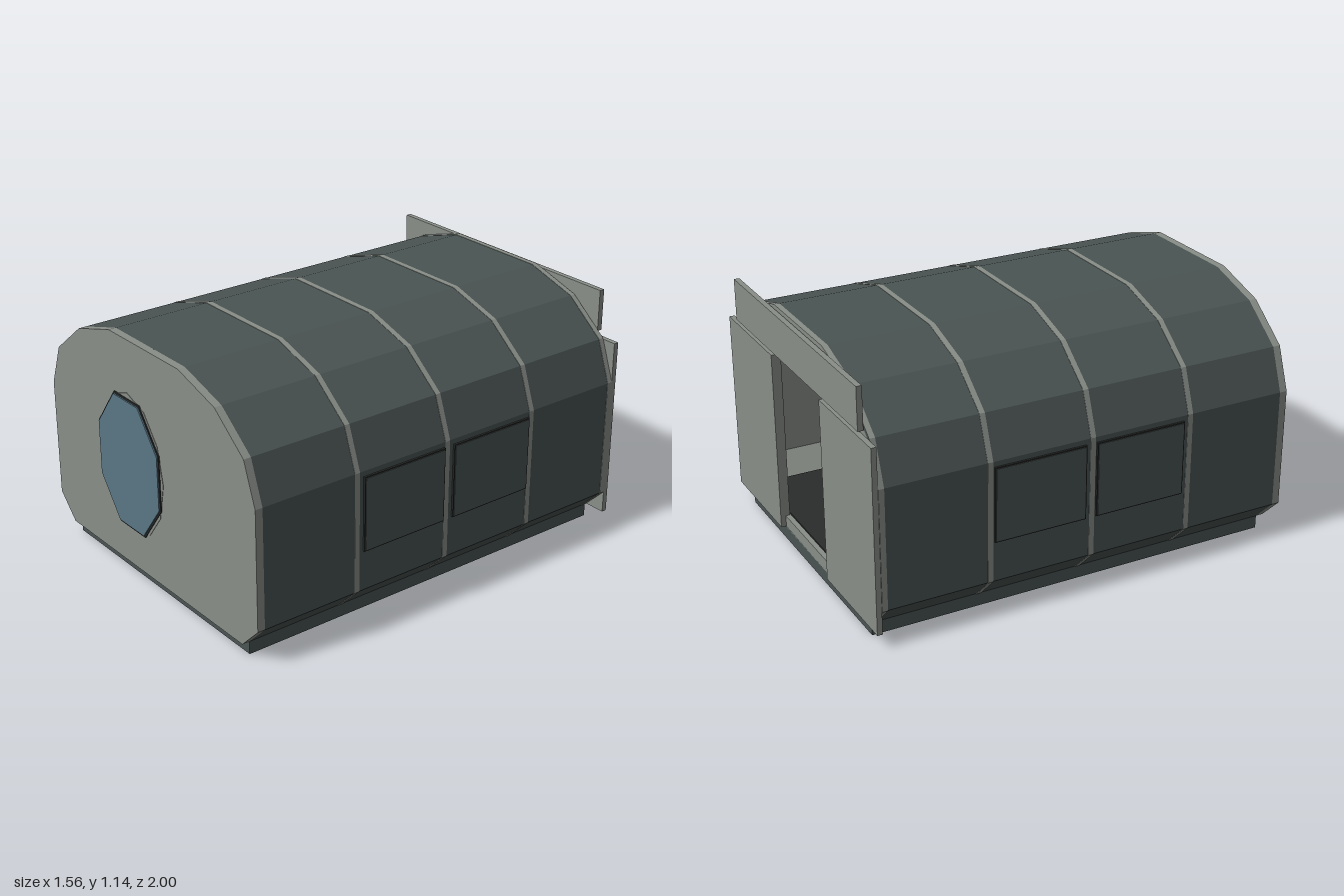
import * as THREE from 'three';

const mat = (name, color) => {
  const m = new THREE.MeshStandardMaterial({ color });
  m.name = name;
  m.flatShading = true;
  return m;
};

// right half of the hull section, from the floor up
const HALF = [[0.66, 0.06], [0.77, 0.17], [0.77, 0.72], [0.70, 0.91], [0.51, 1.06], [0.26, 1.135]];

// hull section moved inwards by d (negative = outwards)
function section(d) {
  const sx = 1 - d / 0.77, sy = 1 - d / 0.535, cy = 0.6;
  const right = HALF.map(([x, y]) => new THREE.Vector2(x * sx, cy + (y - cy) * sy));
  const left = right.map((p) => new THREE.Vector2(-p.x, p.y)).reverse();
  return [...right, ...left];
}

// hollow (or solid, when inner is null) slice of the hull between two depths
function slice(outer, inner, z0, z1) {
  const shape = new THREE.Shape(section(outer));
  if (inner !== null) shape.holes.push(new THREE.Path(section(inner)));
  const g = new THREE.ExtrudeGeometry(shape, { depth: z1 - z0, bevelEnabled: false });
  return g.translate(0, 0, z0);
}

export function createModel() {
  const shell = mat('darkShell', 0x4a5453);
  const wall = mat('lightPanel', 0x898e88);
  const glass = mat('blueGlass', 0x5a7585);
  const black = mat('blackFloor', 0x2a2b2b);

  const root = new THREE.Group();
  root.name = 'cabinModule';
  const add = (name, geo, m) => {
    const mesh = new THREE.Mesh(geo, m);
    mesh.name = name;
    root.add(mesh);
    return mesh;
  };
  const box = (name, x0, x1, y0, y1, z0, z1, m) => add(name,
    new THREE.BoxGeometry(x1 - x0, y1 - y0, z1 - z0)
      .translate((x0 + x1) / 2, (y0 + y1) / 2, (z0 + z1) / 2), m);

  // base and hull: dark skin outside, light lining inside
  box('base', -0.66, 0.66, 0, 0.061, -0.97, 0.95, shell);
  add('outerSkin', slice(0, 0.015, -0.97, 0.95), shell);
  add('innerLining', slice(0.015, 0.025, -0.968, 0.95), wall);
  add('frontWall', slice(0, null, 0.95, 0.985), wall);

  // ribs dividing the hull into four bays, with a floor panel in each
  for (let i = 0; i < 5; i++) {
    const z = -0.97 + i * 0.48;
    if (i < 4) {
      add('rib', slice(-0.0015, 0.055, z, z + 0.025), wall);
      box('floorPanel', -0.62, 0.62, 0.08, 0.115, z + 0.03, z + 0.475, black);
    }
  }

  // faceted oval porthole: trim, gasket and pane
  const porthole = (name, sides, rx, ry, z0, z1, m, turn) => {
    const g = new THREE.CylinderGeometry(1, 1, z1 - z0, sides);
    g.rotateY(turn).rotateX(Math.PI / 2).scale(rx, ry, 1);
    add(name, g.translate(-0.14, 0.555, (z0 + z1) / 2), m);
  };
  porthole('portholeTrim', 12, 0.255, 0.335, 0.98, 0.987, wall, 0);
  porthole('portholeGasket', 8, 0.254, 0.336, 0.98, 0.991, black, Math.PI / 8);
  porthole('portholePane', 8, 0.247, 0.326, 0.98, 0.997, glass, Math.PI / 8);

  for (const s of [-1, 1]) {
    // side windows: thin frame with a plate in it
    for (const z of [0.235, -0.245]) {
      const frame = box('sideWindowFrame', -0.006, 0.006, 0.354, 0.696, z - 0.215, z + 0.215, black);
      frame.position.x = s * 0.773;
      const plate = box('sideWindow', -0.006, 0.006, 0.36, 0.69, z - 0.209, z + 0.209, shell);
      plate.position.x = s * 0.776;
    }
    // sliding doors, drawn apart
    const door = box('slidingDoor', -0.255, 0.255, 0.065, 0.905, -0.995, -0.971, wall);
    door.position.x = s * 0.515;
    const edge = box('doorEdge', -0.012, 0.012, 0.065, 0.9, -0.985, -0.95, wall);
    edge.position.x = s * 0.275;
  }
  box('doorHeader', -0.66, 0.66, 0.93, 1.122, -1, -0.975, wall);

  return root;
}
